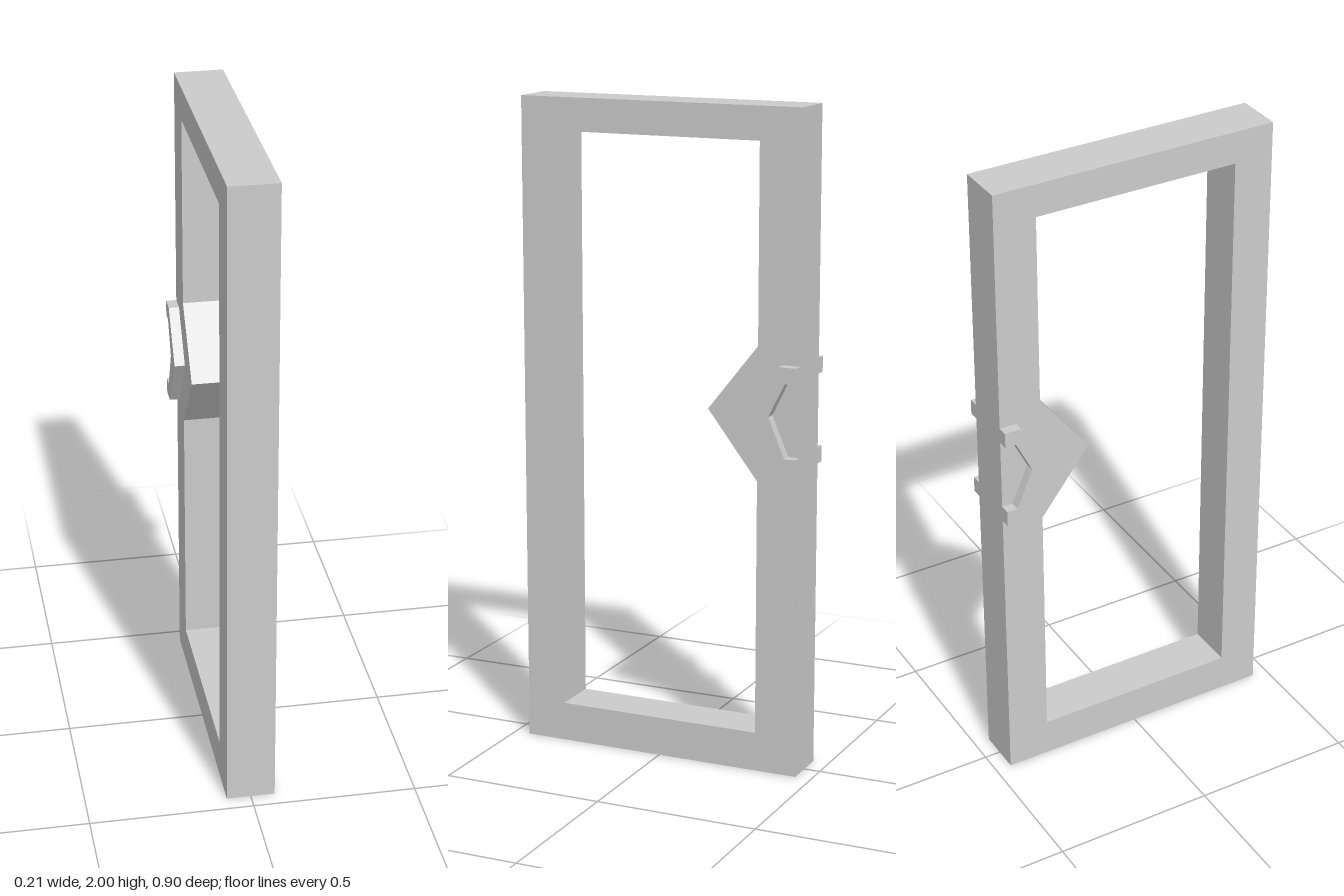
import * as THREE from 'three';

const material = new THREE.MeshStandardMaterial({ color: 0xcccccc, flatShading: true });
const FRAME_HALF = 0.074; // half thickness of the frame
const HANDLE_DEPTH = 0.032; // how far each handle stands out

// Points are [z, y]; shape x runs towards -z
const toPoints = (list) => list.map(([z, y]) => new THREE.Vector2(-z, y));

// Extrudes a side profile along x, from x0 over the given width
function extrudeAcross(name, shape, x0, width) {
  const geometry = new THREE.ExtrudeGeometry(shape, { depth: width, bevelEnabled: false });
  geometry.rotateY(Math.PI / 2).translate(x0, 0, 0);
  const mesh = new THREE.Mesh(geometry, material);
  mesh.name = name;
  return mesh;
}

export function createModel() {
  const group = new THREE.Group();
  group.name = 'doorFrame';

  // Frame: tall rectangle whose opening is notched by the pointed lock block
  const frame = new THREE.Shape(toPoints([[0.45, 0], [-0.45, 0], [-0.45, 2], [0.45, 2]]));
  frame.holes.push(new THREE.Path(toPoints([
    [0.326, 0.12], [0.326, 1.9], [-0.318, 1.9], [-0.318, 1.305],
    [-0.16, 1.105], [-0.318, 0.9], [-0.318, 0.12],
  ])));
  group.add(extrudeAcross('frame', frame, -FRAME_HALF, FRAME_HALF * 2));

  // Handles: pointed brackets, open towards the back edge, one on each side
  const bracket = new THREE.Shape(toPoints([
    [-0.45, 1.255], [-0.397, 1.255], [-0.291, 1.105], [-0.397, 0.935], [-0.45, 0.935],
    [-0.45, 0.984], [-0.416, 0.984], [-0.365, 1.105], [-0.416, 1.207], [-0.45, 1.207],
  ]));
  group.add(extrudeAcross('leftHandle', bracket, FRAME_HALF, HANDLE_DEPTH));
  group.add(extrudeAcross('rightHandle', bracket, -FRAME_HALF - HANDLE_DEPTH, HANDLE_DEPTH));

  return group;
}
